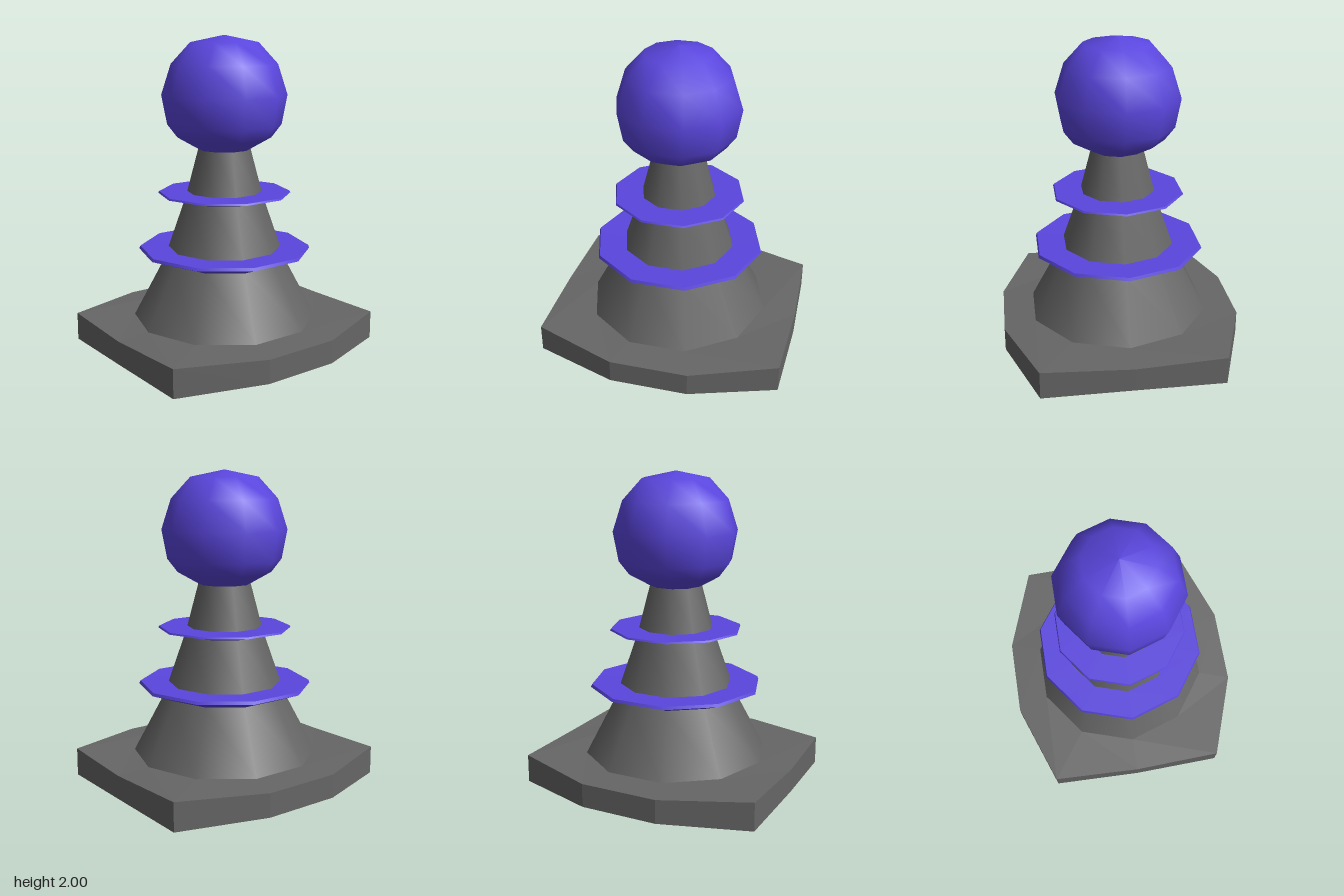
import * as THREE from 'three';

const SIDES = 10;

// Ring of ten points; the four diagonal corners can be pulled outward
function ring(radius, y, pull = 1, cornerY = y) {
  return Array.from({ length: SIDES }, (_, k) => {
    const a = (k / SIDES) * Math.PI * 2;
    const corner = [1, 4, 6, 9].includes(k);
    const r = radius * (corner ? pull : 1);
    return [Math.cos(a) * r, corner ? cornerY : y, Math.sin(a) * r];
  });
}

// Flat-sided band joining two rings
function band(a, b) {
  const pos = [];
  for (let k = 0; k < SIDES; k++) {
    const n = (k + 1) % SIDES;
    pos.push(...a[k], ...b[k], ...b[n], ...a[k], ...b[n], ...a[n]);
  }
  const g = new THREE.BufferGeometry();
  g.setAttribute('position', new THREE.Float32BufferAttribute(pos, 3));
  g.computeVertexNormals();
  return g;
}

// Ten-sided smooth turned surface, with a corner pointing along x
function turned(points) {
  return new THREE.LatheGeometry(points.map(([r, y]) => new THREE.Vector2(r, y)), SIDES, Math.PI / 2);
}

export function createModel() {
  const model = new THREE.Group();
  model.name = 'pawn';
  const grey = new THREE.MeshStandardMaterial({ color: 0x666666, side: THREE.DoubleSide });
  grey.name = 'stone grey';
  const violet = new THREE.MeshStandardMaterial({ color: 0x5a46de, side: THREE.DoubleSide });
  violet.name = 'violet';

  const add = (name, geometry, material) => {
    const mesh = new THREE.Mesh(geometry, material);
    mesh.name = name;
    model.add(mesh);
  };

  // Hollow base, open underneath, with four pulled corners
  const rimTop = ring(0.81, 0.165, 1.207, 0.18);
  add('baseWall', band(ring(0.81, 0.015, 1.207, 0), rimTop), grey);
  add('baseTop', band(rimTop, ring(0.595, 0.175)), grey);

  // Tapering body in three hollow sections
  add('lowerBody', turned([[0.595, 0.175], [0.39, 0.563]]), grey);
  add('middleBody', turned([[0.365, 0.64], [0.255, 0.957]]), grey);
  add('neck', turned([[0.24, 1.008], [0.168, 1.282]]), grey);

  // Flared collars: sloping underside, thin edge, flat top
  const collars = [
    ['lowerCollar', [0.39, 0.563], [0.558, 0.625], [0.55, 0.643], [0.365, 0.64]],
    ['upperCollar', [0.255, 0.957], [0.428, 0.996], [0.422, 1.007], [0.24, 1.008]],
  ];
  for (const [name, inner, edgeLow, edgeHigh, top] of collars) {
    add(name + 'Underside', turned([inner, edgeLow]), violet);
    add(name + 'Edge', turned([edgeLow, edgeHigh]), violet);
    add(name + 'Top', turned([edgeHigh, top]), violet);
  }

  // Faceted round head
  add('head', turned([
    [0.168, 1.282], [0.3, 1.355], [0.365, 1.44], [0.4, 1.627],
    [0.338, 1.82], [0.215, 1.955], [0, 2],
  ]), violet);

  return model;
}
